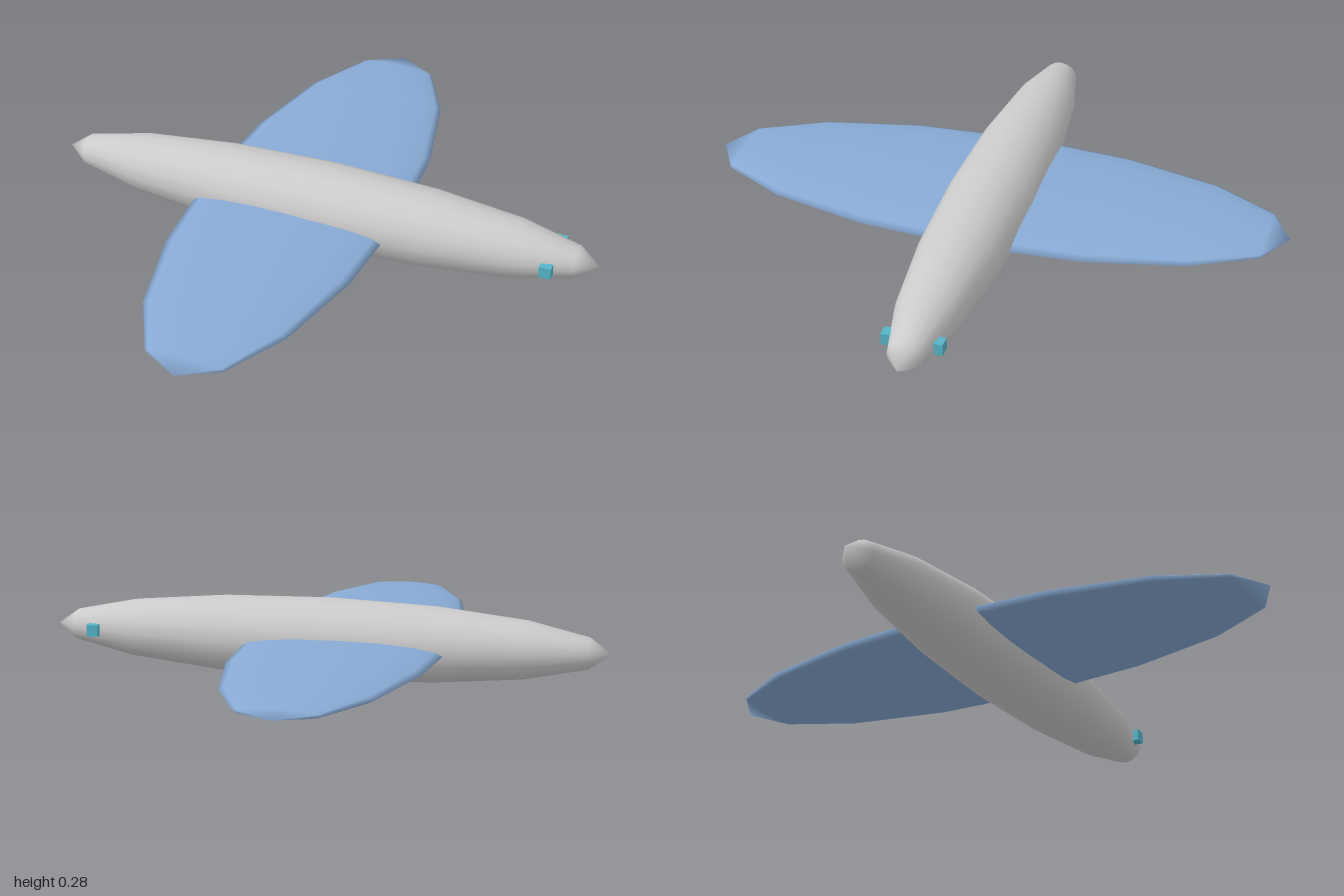
import * as THREE from 'three';

// Ellipsoid whose poles lie along the given axis
function ellipsoid(name, axis, radii, position, color) {
  const geometry = new THREE.SphereGeometry(1, 16, 8);
  if (axis === 'x') geometry.rotateZ(-Math.PI / 2);
  else geometry.rotateX(Math.PI / 2);
  geometry.scale(...radii);
  const mesh = new THREE.Mesh(geometry, new THREE.MeshStandardMaterial({ color }));
  mesh.name = name;
  mesh.position.set(...position);
  return mesh;
}

export function createModel() {
  const group = new THREE.Group();
  group.name = 'glider';

  // Long spindle body, nose towards +x
  group.add(ellipsoid('body', 'x', [0.955, 0.138, 0.152], [0, 0.138, 0], 0xcccccc));

  // One thin elliptical wing passing through the body
  group.add(ellipsoid('wing', 'z', [0.348, 0.036, 1], [-0.083, 0.131, 0], 0x88aad4));

  // Small cube eyes on both sides of the nose
  const eyeGeometry = new THREE.BoxGeometry(0.04, 0.04, 0.04);
  const eyeMaterial = new THREE.MeshStandardMaterial({ color: 0x55b5c8 });
  for (const side of [-1, 1]) {
    const eye = new THREE.Mesh(eyeGeometry, eyeMaterial);
    eye.name = side > 0 ? 'frontEye' : 'backEye';
    eye.position.set(0.8, 0.138, side * 0.08);
    group.add(eye);
  }
  return group;
}
